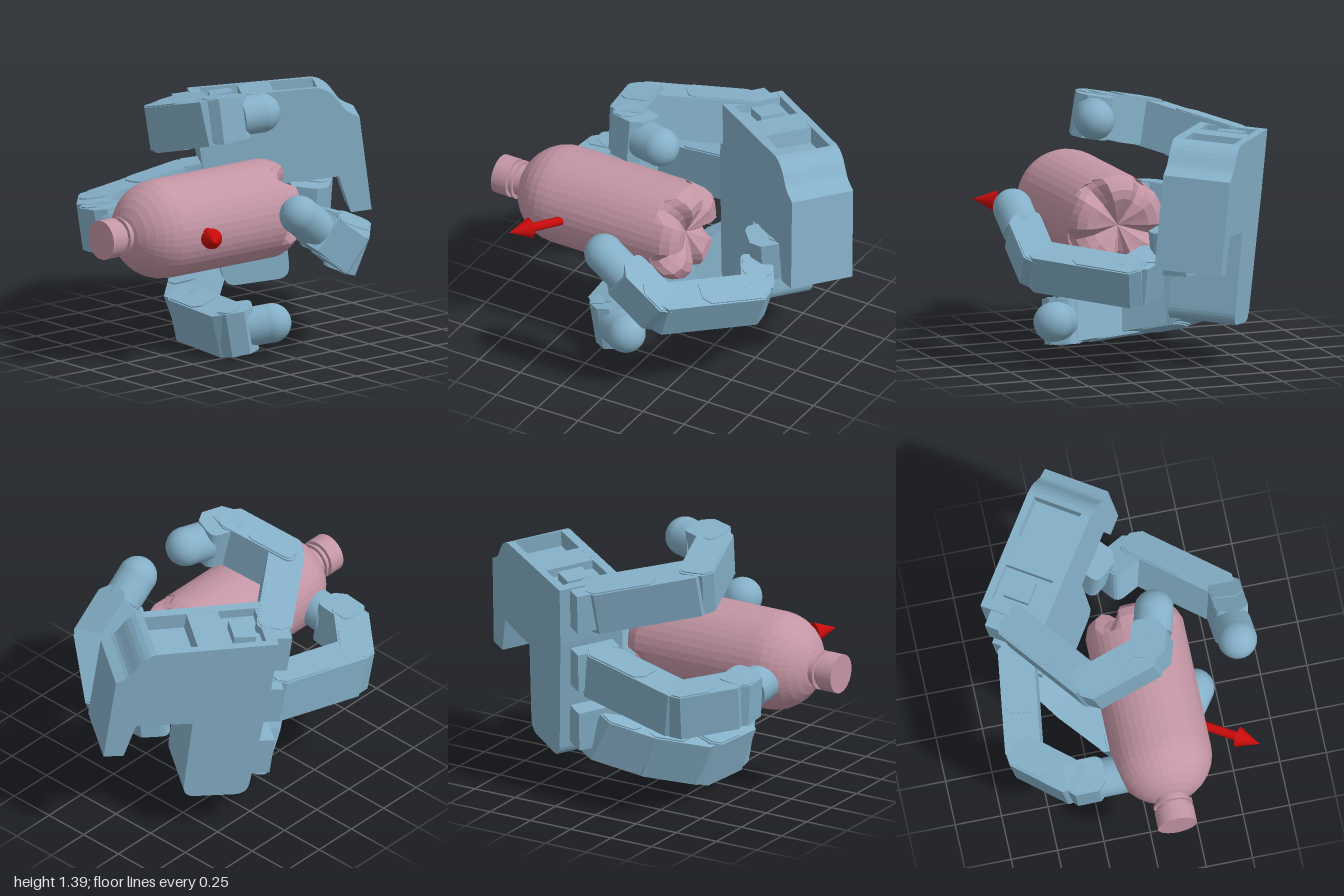
import * as THREE from 'three';

const V = (x, y, z) => new THREE.Vector3(x, y, z);
const handMat = new THREE.MeshStandardMaterial({ color: 0x85b0c8, flatShading: true });
const tipMat = new THREE.MeshStandardMaterial({ color: 0x85b0c8 });
const bottleMat = new THREE.MeshStandardMaterial({ color: 0xc496a5, flatShading: true });
const arrowMat = new THREE.MeshStandardMaterial({ color: 0xc80a0a });

function add(parent, name, geometry, material) {
  const mesh = new THREE.Mesh(geometry, material);
  mesh.name = name;
  parent.add(mesh);
  return mesh;
}

// Cylinder or cone running from a to b
function rod(parent, name, a, b, r0, r1, material) {
  const d = b.clone().sub(a);
  const mesh = add(parent, name, new THREE.CylinderGeometry(r1, r0, d.length(), 28), material);
  mesh.position.copy(a).addScaledVector(d, 0.5);
  mesh.quaternion.setFromUnitVectors(V(0, 1, 0), d.normalize());
}

// Side profile of a link: a bar with softened corners, from x0 to x1
function barGeometry(x0, x1, t, width, c) {
  const h = t / 2, s = new THREE.Shape();
  s.moveTo(x0 + c, -h);
  s.lineTo(x1 - c, -h);
  s.quadraticCurveTo(x1, -h, x1, -h + c);
  s.lineTo(x1, h - c);
  s.lineTo(x1 - c, h);
  s.lineTo(x0 + c, h);
  s.lineTo(x0, h - c);
  s.lineTo(x0, -h + c);
  s.quadraticCurveTo(x0, -h, x0 + c, -h);
  const g = new THREE.ExtrudeGeometry(s, { depth: width, bevelEnabled: false, curveSegments: 4 });
  return g.translate(0, 0, -width / 2);
}

// Link between two joints; side is the direction of the hinge axis
function link(parent, name, a, b, side, width, t, over = 0.07) {
  const d = b.clone().sub(a), len = d.length();
  d.normalize();
  const u = side.clone().addScaledVector(d, -side.dot(d)).normalize();
  const v = u.clone().cross(d);
  const g = new THREE.Group();
  g.name = name;
  g.applyMatrix4(new THREE.Matrix4().makeBasis(d, v, u).setPosition(a));
  add(g, 'motorCase', barGeometry(-over, len + over * 0.6, t, width * 0.95, 0.05), handMat);
  // thin cheeks around the hinge
  for (const s of [-1, 1]) {
    const cheek = add(g, 'hingeCheek', barGeometry(-over * 0.8, len * 0.6, t * 0.9, 0.016, 0.04), handMat);
    cheek.position.z = s * (width / 2 - 0.008);
  }
  parent.add(g);
}

// Finger: links through the joints, then a round tip on the last one
function finger(parent, name, joints, side, width, t, tipStart) {
  const g = new THREE.Group();
  g.name = name;
  const n = joints.length;
  for (let i = 0; i < n - 2; i++) link(g, 'link' + (i + 1), joints[i], joints[i + 1], side, width, t);
  const a = joints[n - 2], tip = joints[n - 1];
  const mid = a.clone().lerp(tip, tipStart);
  link(g, 'tipLink', a, mid, side, width * 0.95, t, 0.06);
  rod(g, 'tipShaft', mid, tip, 0.104, 0.104, tipMat);
  add(g, 'fingertip', new THREE.SphereGeometry(0.105, 28, 18), tipMat).position.copy(tip);
  parent.add(g);
}

// Palm outline: x runs towards the fingers, y across the hand
function palmShape(pockets) {
  const s = new THREE.Shape();
  s.moveTo(0, 0);
  s.lineTo(0.05, -0.03);
  s.bezierCurveTo(0.1, -0.06, 0.1, -0.16, 0.2, -0.185);
  // motor pockets cut into the upper edge
  if (pockets) {
    for (const [x0, x1, depth] of [[0.2, 0.43, 0.09], [0.6, 0.8, 0.05]]) {
      const y0 = -0.175 - x0 * 0.05, y1 = -0.175 - x1 * 0.05;
      s.lineTo(x0, y0);
      s.lineTo(x0, y0 + depth);
      s.lineTo(x1, y1 + depth);
      s.lineTo(x1, y1);
    }
  }
  s.lineTo(0.86, -0.22);
  s.lineTo(0.86, 0.1);
  s.lineTo(0.83, 0.72);
  s.quadraticCurveTo(0.83, 0.8, 0.75, 0.8);
  s.lineTo(0.54, 0.8);
  s.quadraticCurveTo(0.47, 0.8, 0.47, 0.72);
  s.lineTo(0.46, 0.3);
  s.lineTo(0.15, 0.3);
  s.lineTo(0.11, 0.5);
  s.lineTo(0, 0.5);
  return s;
}

function makePalm() {
  const palm = new THREE.Group();
  palm.name = 'palm';
  const n = V(0.83, 0.07, 0.56).normalize();
  const f = V(-0.55, -0.12, 0.83);
  f.addScaledVector(n, -f.dot(n)).normalize();
  const w = n.clone().cross(f);
  palm.applyMatrix4(new THREE.Matrix4().makeBasis(f, w, n).setPosition(-0.21, 1.085, -0.975));
  // back shell, pocketed core and front shell
  for (const [name, z, depth] of [['backShell', 0, 0.04], ['palmCore', 0.04, 0.27], ['frontShell', 0.31, 0.05]]) {
    const g = new THREE.ExtrudeGeometry(palmShape(name === 'palmCore'), { depth, bevelEnabled: false, curveSegments: 8 });
    add(palm, name, g, handMat).position.z = z;
  }
  // motor sitting in the pocket near the fingers
  add(palm, 'palmMotor', new THREE.BoxGeometry(0.12, 0.06, 0.14), handMat).position.set(0.7, -0.175, 0.16);
  // knuckle mounts at the finger edge
  for (const y of [-0.1, 0.25, 0.6]) {
    const box = add(palm, 'knuckleMount', new THREE.BoxGeometry(0.14, 0.22, 0.24), handMat);
    box.position.set(0.88, y, 0.18);
  }
  return palm;
}

function makeBottle() {
  const bottle = new THREE.Group();
  bottle.name = 'bottle';
  const pts = [[0, -0.13], [0.08, -0.17], [0.15, -0.2], [0.2, -0.2], [0.245, -0.17], [0.264, -0.12], [0.264, -0.06], [0.264, 0.6]];
  for (let i = 1; i <= 7; i++) {
    const a = (i / 8) * Math.PI / 2;
    pts.push([0.264 * Math.cos(a), 0.6 + 0.255 * Math.sin(a)]);
  }
  pts.push([0.085, 0.845], [0.085, 0.875], [0.105, 0.875], [0.105, 0.885], [0.085, 0.885],
    [0.085, 0.91], [0.105, 0.91], [0.105, 1], [0, 1]);
  const g = new THREE.LatheGeometry(pts.map(p => new THREE.Vector2(p[0], p[1])), 40);
  // five-lobed foot: pull the narrow valleys between the lobes inwards
  const pos = g.attributes.position;
  for (let i = 0; i < pos.count; i++) {
    const x = pos.getX(i), y = pos.getY(i), z = pos.getZ(i), r = Math.hypot(x, z);
    if (y > -0.1 || r < 0.05) continue;
    const k = Math.max(0, Math.cos(5 * Math.atan2(x, z)) - 0.1) / 0.9;
    pos.setXYZ(i, x * (1 - 0.06 * k), y + 0.08 * k * Math.min(1, r / 0.2), z * (1 - 0.06 * k));
  }
  g.rotateX(Math.PI / 2);
  g.computeVertexNormals();
  add(bottle, 'bottleBody', g, bottleMat);
  bottle.position.set(0.095, 0.722, 0);
  return bottle;
}

export function createModel() {
  const model = new THREE.Group();
  model.name = 'robotHandWithBottle';
  model.add(makeBottle());

  const hand = new THREE.Group();
  hand.name = 'robotHand';
  model.add(hand);
  hand.add(makePalm());

  finger(hand, 'upperFinger', [V(-0.53, 1.09, -0.12), V(-0.22, 1.175, 0.31), V(0.11, 1.255, 0.225), V(0.18, 1.27, -0.02)],
    V(0.18, -0.97, -0.08), 0.255, 0.19, 0.5);
  finger(hand, 'middleFinger', [V(-0.54, 0.72, -0.1), V(-0.61, 0.63, 0.43), V(-0.38, 0.655, 0.635), V(-0.1, 0.68, 0.64)],
    V(0.1, -0.98, -0.1), 0.26, 0.19, 0.46);
  finger(hand, 'lowerFinger', [V(-0.45, 0.34, -0.14), V(-0.29, 0.24, 0.05), V(-0.09, 0.17, 0.26), V(0.25, 0.145, 0.25), V(0.38, 0.18, 0.07)],
    V(0.1, -0.93, -0.3), 0.265, 0.18, 0.45);

  // thumb with its mounting block by the palm
  link(hand, 'thumbMount', V(-0.12, 0.66, -0.62), V(-0.01, 0.65, -0.5), V(0.1, 1, 0), 0.24, 0.2);
  finger(hand, 'thumb', [V(0.07, 0.54, -0.52), V(0.2, 0.51, -0.6), V(0.6, 0.56, -0.26), V(0.61, 0.81, 0.07)],
    V(0.12, 0.9, -0.35), 0.225, 0.18, 0.62);

  // arrow pointing out of the bottle wall
  const arrow = new THREE.Group();
  arrow.name = 'arrow';
  model.add(arrow);
  const start = V(0.26, 0.73, 0.43), neck = V(0.505, 0.743, 0.583), tip = V(0.61, 0.75, 0.65);
  rod(arrow, 'arrowShaft', start, neck, 0.024, 0.024, arrowMat);
  rod(arrow, 'arrowHead', neck, tip, 0.056, 0, arrowMat);
  return model;
}
